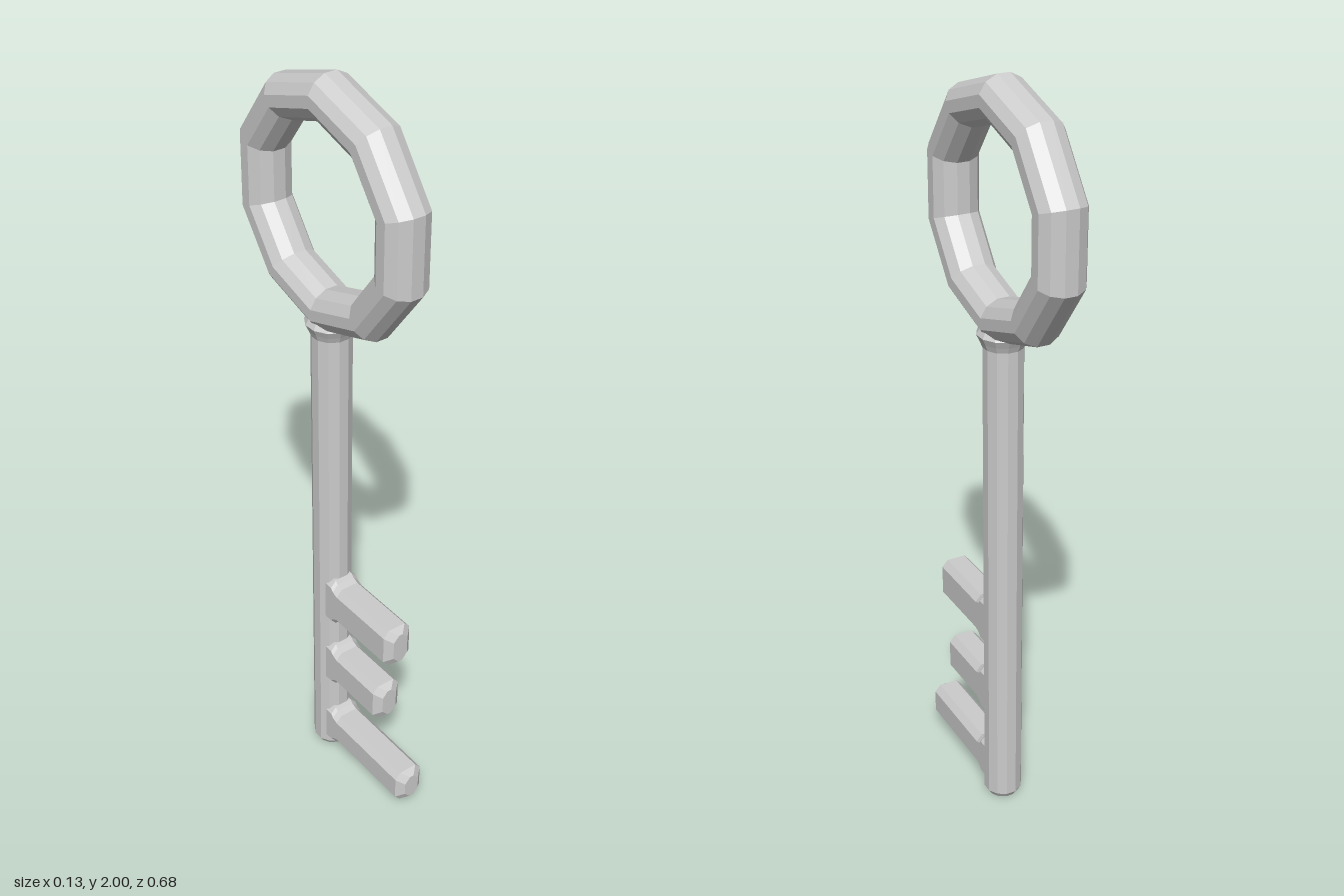
import * as THREE from 'three';

const AXIS_Z = -0.022; // shaft and bow share this centre line

export function createModel() {
  const key = new THREE.Group();
  key.name = 'key';
  const metal = new THREE.MeshStandardMaterial({ color: 0xcccccc, flatShading: true });

  const add = (name, geometry, x, y, z) => {
    const mesh = new THREE.Mesh(geometry, metal);
    mesh.name = name;
    mesh.position.set(x, y, z);
    key.add(mesh);
    return mesh;
  };

  // Bow: ten-segment ring with a twelve-sided section
  const section = [];
  for (let i = 0; i <= 12; i++) {
    const a = ((i - 0.5) / 12) * Math.PI * 2;
    section.push(new THREE.Vector2(0.266 + 0.058 * Math.cos(a), 0.0645 * Math.sin(a)));
  }
  const ring = new THREE.LatheGeometry(section, 10, Math.PI / 2);
  ring.rotateZ(Math.PI / 2);
  ring.scale(1, 1, 1.035);
  add('bow', ring, 0, 1.678, AXIS_Z);

  // Shaft: chamfered tip, flared collar running into the bow
  const profile = [[0, 0], [0.042, 0], [0.052, 0.016], [0.052, 1.345], [0.058, 1.36], [0.067, 1.379], [0.05, 1.41], [0, 1.41]]
    .map(([r, y]) => new THREE.Vector2(r, y));
  add('shaft', new THREE.LatheGeometry(profile, 12, Math.PI / 12), 0, 0, AXIS_Z);

  // Teeth: [name, centre height, half height, reach in z]
  const teeth = [
    ['upperTooth', 0.543, 0.058, 0.275],
    ['middleTooth', 0.32, 0.056, 0.235],
    ['lowerTooth', 0.089, 0.05, 0.34],
  ];
  for (const [name, y, h, reach] of teeth) {
    add(name, toothGeometry(h, reach), 0, y, 0);
  }
  return key;
}

// Chamfered bar along +z with a flared root and a bevelled end
function toothGeometry(h, reach) {
  const w = 0.042;
  const loops = [
    [-0.01, w, h + 0.018],
    [0.03, w, h + 0.016],
    [0.038, w, h + 0.007],
    [0.055, w, h],
    [reach - 0.018, w, h],
    [reach, w - 0.02, h - 0.014],
  ];
  const positions = [];
  const index = [];
  for (const [z, a, b] of loops) {
    const cx = 0.016, cy = 0.018;
    const corners = [
      [a, -b + cy], [a, b - cy], [a - cx, b], [-a + cx, b],
      [-a, b - cy], [-a, -b + cy], [-a + cx, -b], [a - cx, -b],
    ];
    for (const [x, y] of corners) positions.push(x, y, z);
  }
  for (let k = 0; k < loops.length - 1; k++) {
    for (let i = 0; i < 8; i++) {
      const p = k * 8 + i, q = k * 8 + ((i + 1) % 8);
      index.push(p, q, q + 8, p, q + 8, p + 8);
    }
  }
  const end = (loops.length - 1) * 8;
  for (let i = 1; i < 7; i++) index.push(end, end + i, end + i + 1);

  const geometry = new THREE.BufferGeometry();
  geometry.setAttribute('position', new THREE.Float32BufferAttribute(positions, 3));
  geometry.setIndex(index);
  geometry.computeVertexNormals();
  return geometry;
}
